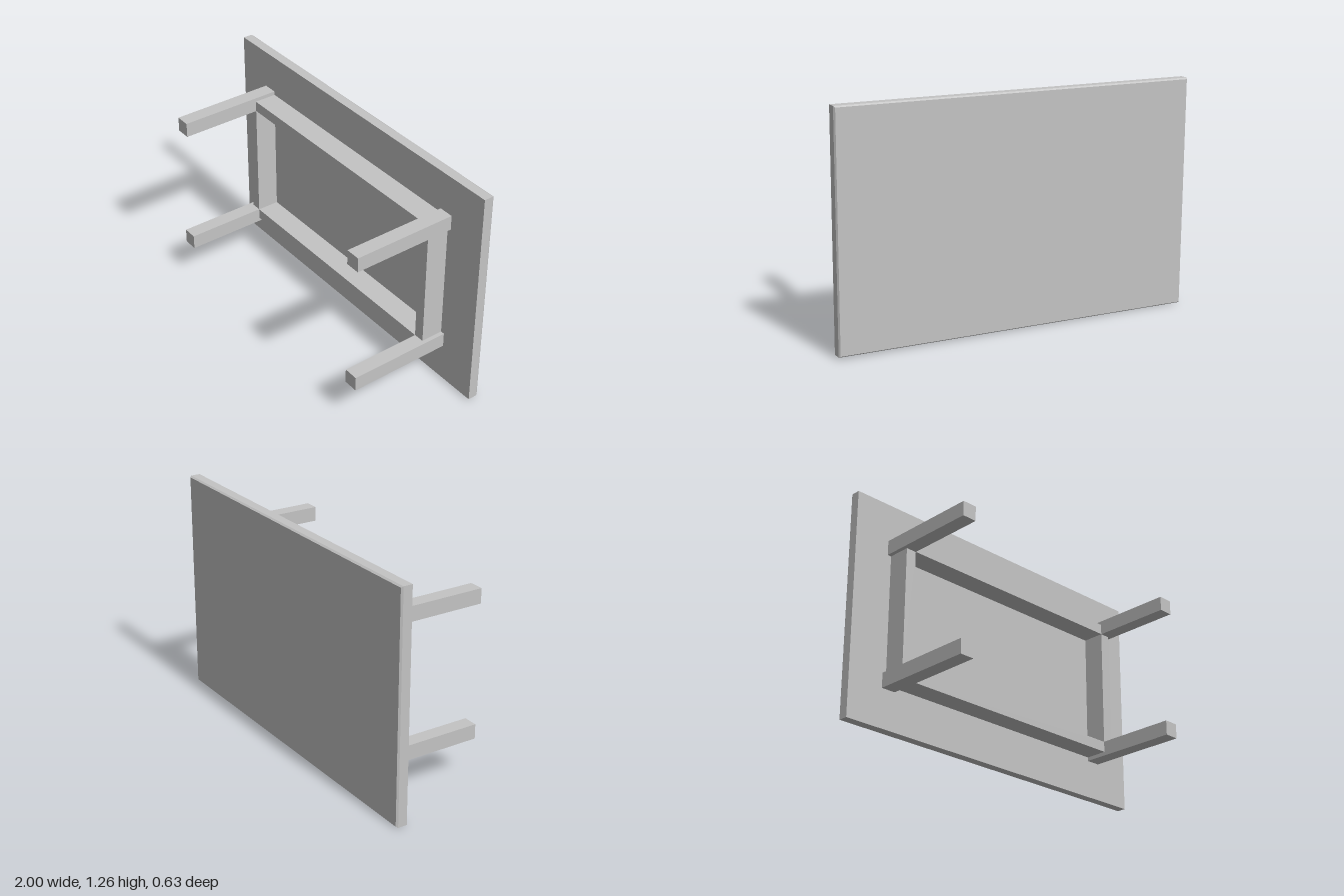
import * as THREE from 'three';

export function createModel() {
  const model = new THREE.Group();
  model.name = 'table';
  const grey = new THREE.MeshStandardMaterial({ color: 0xc4c4c4 });
  grey.name = 'light grey';

  // The table rests on its long edge, turned a touch off level
  const table = new THREE.Group();
  table.name = 'tippedTable';
  table.position.set(0, 0.628, 0);
  table.rotation.z = 0.0048;
  model.add(table);

  const add = (name, geometry, x, y, z) => {
    const mesh = new THREE.Mesh(geometry, grey);
    mesh.name = name;
    mesh.position.set(x, y, z);
    table.add(mesh);
  };
  const bar = (name, w, h, z0, z1, x, y) =>
    add(name, new THREE.BoxGeometry(w, h, z1 - z0), x, y, (z0 + z1) / 2);

  // Table top: a slab with a small chamfer round its back face
  const W = 1.993, H = 1.246, front = -0.255, shoulder = -0.306, back = -0.316, inset = 0.007;
  const slab = new THREE.BoxGeometry(W, H, 2, 1, 1, 2).toNonIndexed();
  const p = slab.attributes.position;
  for (let i = 0; i < p.count; i++) {
    const z = p.getZ(i);
    if (z < -0.5) {
      p.setX(i, p.getX(i) - Math.sign(p.getX(i)) * inset);
      p.setY(i, p.getY(i) - Math.sign(p.getY(i)) * inset);
    }
    p.setZ(i, z > 0.5 ? front : z < -0.5 ? back : shoulder);
  }
  slab.computeVertexNormals();
  add('tableTop', slab, 0, 0, 0);

  // Four square legs pointing forward
  const cx = -0.005, legX = 0.743, legY = 0.37, leg = 0.081;
  for (const sx of [-1, 1])
    for (const sy of [-1, 1])
      bar((sx > 0 ? 'left' : 'right') + (sy > 0 ? 'Upper' : 'Lower') + 'Leg',
        leg, leg, front, 0.318, cx + sx * legX, sy * legY);

  // Apron rails between the legs
  const rail = 0.059, railFront = -0.13;
  for (const s of [-1, 1]) {
    bar(s > 0 ? 'upperApron' : 'lowerApron', 2 * legX - leg, rail, front, railFront, cx, s * 0.36);
    bar(s > 0 ? 'leftApron' : 'rightApron', rail, 2 * legY - leg, front, railFront, cx + s * 0.732, 0);
  }
  return model;
}
